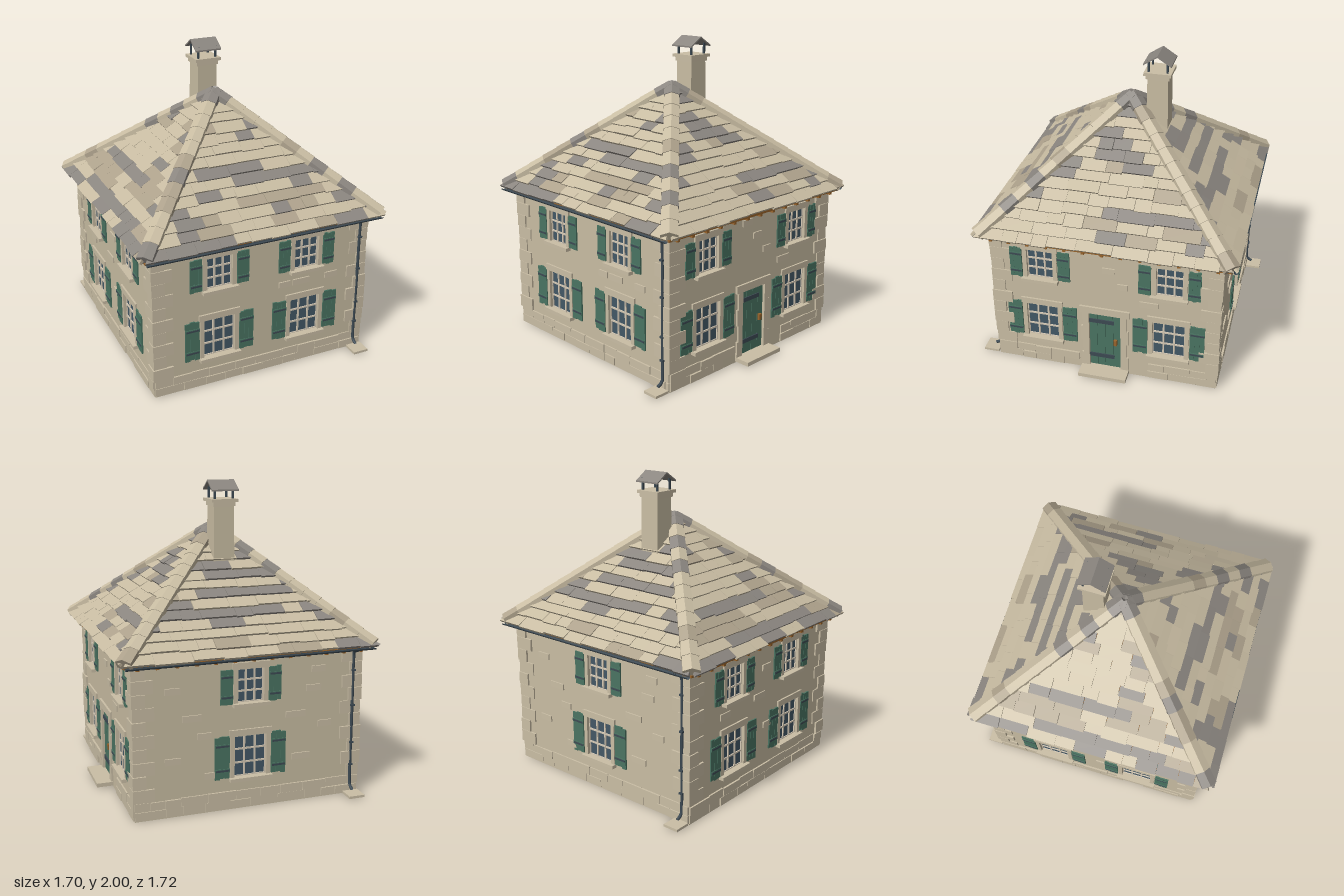
import * as THREE from 'three';
import { mergeGeometries } from 'three/addons/utils/BufferGeometryUtils.js';

const mat = (name, color, side = THREE.FrontSide) => {
  const m = new THREE.MeshStandardMaterial({ color, side });
  m.name = name;
  return m;
};

// Small seeded generator for irregular stonework
let seed = 7;
const rnd = (a = 0, b = 1) => {
  seed = (seed * 16807) % 2147483647;
  return a + (b - a) * (seed / 2147483647);
};

export function createModel() {
  const wallMat = mat('wall render', 0xc9bda3);
  const stone = mat('dressed stone', 0xcabea5);
  const slateTan = mat('tan roof slab', 0xc8bca2);
  const slateTaupe = mat('taupe roof slab', 0xaea28c);
  const slateGrey = mat('grey roof slab', 0x8b8680);
  const green = mat('green paint', 0x4a7462);
  const glassMat = mat('window glass', 0x435866, THREE.DoubleSide);
  const iron = mat('dark iron', 0x3d4a53, THREE.DoubleSide);
  const wood = mat('brown timber', 0x9a652c);
  const bars = mat('pale window bars', 0xd6cab6);

  const house = new THREE.Group();
  house.name = 'stoneHouse';
  const W = 0.74; // wall half width

  const group = (parent, name) => {
    const g = new THREE.Group();
    g.name = name;
    parent.add(g);
    return g;
  };
  const mesh = (parent, name, geo, m) => {
    const o = new THREE.Mesh(geo, m);
    o.name = name;
    parent.add(o);
    return o;
  };
  // Box given by its low and high corners
  const box = (parent, name, m, x0, x1, y0, y1, z0, z1) => {
    const o = mesh(parent, name, new THREE.BoxGeometry(x1 - x0, y1 - y0, z1 - z0), m);
    o.position.set((x0 + x1) / 2, (y0 + y1) / 2, (z0 + z1) / 2);
  };

  // Window with stone surround, glazing bars and open shutters
  function addWindow(side, cx, y0, y1, half, shutterW) {
    const g = group(side, 'window');
    g.position.x = cx;
    box(g, 'glass', glassMat, -half, half, y0, y1, W - 0.022, W - 0.017);
    for (let i = 0; i <= 3; i++) {
      const t = 0.0055;
      const x = -half + (2 * half * i) / 3, y = y0 + ((y1 - y0) * i) / 3;
      box(g, 'verticalBar', bars, x - t, x + t, y0, y1, W - 0.019, W - 0.009);
      box(g, 'crossBar', bars, -half, half, y - t, y + t, W - 0.019, W - 0.01);
    }
    box(g, 'lintel', stone, -half - 0.035, half + 0.035, y1, y1 + 0.042, W - 0.035, W + 0.012);
    box(g, 'sill', stone, -half - 0.035, half + 0.035, y0 - 0.022, y0, W - 0.035, W + 0.036);
    for (const s of [-1, 1]) {
      const xj = s * (half + 0.014);
      box(g, 'jamb', stone, xj - 0.014, xj + 0.014, y0, y1, W - 0.035, W + 0.01);
      const sh = group(g, 'shutter');
      sh.position.x = s * (half + 0.033 + shutterW / 2);
      const p = shutterW / 3;
      for (let i = -1; i <= 1; i++) {
        const d = rnd(-0.005, 0.005);
        box(sh, 'plank', green, i * p - p * 0.49, i * p + p * 0.49, y0 + d, y1 + 0.006 + d, W + 0.001, W + 0.01 + i * 0.001);
      }
      for (const f of [0.2, 0.8]) {
        const y = y0 + (y1 - y0) * f;
        box(sh, 'batten', green, -shutterW / 2, shutterW / 2, y - 0.012, y + 0.012, W + 0.009, W + 0.014);
        box(sh, 'hinge', iron, -shutterW * 0.45, shutterW * 0.45, y - 0.006, y + 0.006, W + 0.013, W + 0.016);
      }
    }
  }

  function addDoor(side) {
    const g = group(side, 'door');
    for (let i = 0; i < 4; i++) {
      const x = -0.105 + i * 0.0525;
      box(g, 'doorPlank', green, x + 0.001, x + 0.0515, 0.035, 0.47, W - 0.025, W - 0.005);
    }
    for (const y of [0.12, 0.405]) box(g, 'strapHinge', iron, -0.105, 0.06, y - 0.014, y + 0.014, W - 0.006, W + 0.002);
    box(g, 'doorHandle', wood, 0.058, 0.08, 0.23, 0.27, W - 0.006, W + 0.014);
    box(g, 'doorLintel', stone, -0.165, 0.165, 0.47, 0.52, W - 0.035, W + 0.014);
    for (const s of [-1, 1])
      for (let i = 0; i < 4; i++) {
        const w = i % 2 ? 0.04 : 0.052, a = s * 0.105, b = s * (0.105 + w);
        box(g, 'doorJamb', stone, Math.min(a, b), Math.max(a, b), 0.03 + i * 0.11, 0.14 + i * 0.11, W - 0.035, W + 0.013);
      }
    box(g, 'doorStep', stone, -0.16, 0.16, 0.01, 0.036, W - 0.03, 0.85);
  }

  // Four walls: front, right, back, left; loose stones as [x, y, width]
  const sides = [
    { name: 'frontWall', cols: [-0.304, 0.302], stones: [[0.15, 0.6, 0.08], [0.27, 0.6, 0.12], [0.49, 0.6, 0.09]] },
    { name: 'doorWall', cols: [-0.42, 0.42], door: true, stones: [[-0.07, 0.92, 0.09], [0.03, 0.82, 0.08], [0.12, 0.71, 0.07], [0.29, 0.6, 0.12]] },
    { name: 'backWall', cols: [0], stones: [[-0.5, 0.8, 0.1], [-0.38, 0.62, 0.12], [-0.3, 0.5, 0.09], [-0.5, 0.36, 0.1], [-0.25, 0.24, 0.1], [0.3, 0.58, 0.13], [0.42, 0.74, 0.1], [0.5, 0.5, 0.09], [0.34, 0.3, 0.12], [0.45, 0.86, 0.09]] },
    { name: 'leftWall', cols: [-0.31, 0.31], stones: [[0.03, 0.8, 0.09], [-0.04, 0.62, 0.12], [0.05, 0.4, 0.08], [-0.4, 0.6, 0.1]] },
  ];
  sides.forEach((s, k) => {
    const side = group(house, s.name);
    side.rotation.y = (k * Math.PI) / 2;
    const shape = new THREE.Shape();
    shape.moveTo(-W, 0);
    if (s.door) shape.lineTo(-0.105, 0).lineTo(-0.105, 0.47).lineTo(0.105, 0.47).lineTo(0.105, 0);
    shape.lineTo(W, 0).lineTo(W, 1).lineTo(-W, 1).closePath();
    for (const c of s.cols)
      for (const [y0, y1, h, w] of [[0.21, 0.475, 0.105, 0.096], [0.688, 0.9, 0.085, 0.08]]) {
        const hole = new THREE.Path();
        hole.moveTo(c - h, y0).lineTo(c - h, y1).lineTo(c + h, y1).lineTo(c + h, y0).closePath();
        shape.holes.push(hole);
        addWindow(side, c, y0, y1, h, w);
      }
    mesh(side, 'wall', new THREE.ExtrudeGeometry(shape, { depth: 0.02, bevelEnabled: false }), wallMat).position.z = W - 0.02;
    if (s.door) addDoor(side);
    for (const [x, y, w] of s.stones) box(side, 'wallStone', stone, x - w / 2, x + w / 2, y - 0.02, y + 0.02, W - 0.01, W + 0.009);

    // Two courses of plinth blocks
    for (let r = 0; r < 2; r++)
      for (let x = -W; x < W - 0.02; ) {
        const x1 = Math.min(W, x + rnd(0.09, 0.2));
        if (!s.door || x1 < -0.155 || x > 0.155) box(side, 'plinthStone', stone, x, x1 - 0.003, 0.008 + r * 0.057, r * 0.057 + rnd(0.058, 0.066), W - 0.025, W + rnd(0.005, 0.014));
        x = x1;
      }
    // Corner stones alternating long and short
    for (let i = 0; i < 10; i++) {
      const a = (i % 2 ? 0.135 : 0.085) + rnd(-0.01, 0.01), b = i % 2 ? 0.085 : 0.135, o = W + rnd(0.007, 0.015);
      box(side, 'cornerStone', stone, o - a, o, 0.122 + i * 0.085, 0.204 + i * 0.085, o - b, o);
    }
    // Fascia board and rafter tails under the eaves
    box(side, 'fascia', wood, -0.803, 0.803, 0.974, 0.988, 0.79, 0.803);
    for (let x = -0.72; x < 0.75; x += 0.12) box(side, 'rafterTail', wood, x - 0.01, x + 0.01, 0.956, 0.98, W - 0.03, 0.795);
  });

  // Hipped roof: timber deck, overlapping slabs and hip stones
  const R = 0.815, eave = 0.987, rise = 0.69;
  const L = Math.hypot(R, rise), slope = Math.atan2(rise, R);
  const deck = mesh(house, 'roofDeck', new THREE.CylinderGeometry(0, 0.77 * Math.SQRT2, 0.652, 4).rotateY(Math.PI / 4), wood);
  deck.position.y = 1.005 + 0.326;

  const slabMats = [slateTan, slateTaupe, slateGrey];
  const rows = 14, pitch = L / rows;
  for (let k = 0; k < 4; k++) {
    const turn = group(house, 'roofSlope');
    turn.rotation.y = (k * Math.PI) / 2;
    const plane = group(turn, 'slabs');
    plane.position.set(0, eave, R);
    plane.rotation.x = slope - Math.PI / 2;
    const bins = [[], [], []];
    let tone = 0;
    for (let r = 0; r < rows; r++) {
      const half = R * (1 - r / rows);
      for (let x = -half; x < half - 0.01; ) {
        const x1 = Math.min(half, x + rnd(0.09, 0.24));
        const v0 = r * pitch - rnd(0, 0.014), v1 = Math.min(L, (r + 1.2) * pitch), lift = rnd(0.008, 0.015), gap = rnd(0, 0.002);
        const g = new THREE.BoxGeometry(1, 1, 1), p = g.attributes.position;
        for (let i = 0; i < p.count; i++) {
          const v = p.getY(i) < 0 ? v0 : v1, lim = Math.max(0, R * (1 - v / L));
          const u = p.getX(i) < 0 ? x + gap : x1 - gap;
          const w = (p.getZ(i) < 0 ? 0 : 0.018) + (p.getY(i) < 0 ? lift : -0.006);
          p.setXYZ(i, Math.max(-lim, Math.min(lim, u)), v, w);
        }
        g.computeVertexNormals();
        const c = rnd();
        if (rnd() > 0.25) tone = c < 0.56 ? 0 : c < 0.7 ? 1 : 2;
        bins[tone].push(g);
        x = x1;
      }
    }
    bins.forEach((b, i) => b.length && mesh(plane, 'roofSlabs', mergeGeometries(b), slabMats[i]));

    // Hip stones from corner to peak, ridge edge upward
    const from = new THREE.Vector3(0.8, 1.005, 0.8), to = new THREE.Vector3(0, 1.683, 0);
    const n = 12, len = from.distanceTo(to) / n;
    const aim = new THREE.Matrix4().lookAt(to, from, new THREE.Vector3(0, 1, 0));
    for (let i = 0; i < n; i++) {
      const geo = new THREE.CylinderGeometry(0.055, 0.06, len * 1.06, 6).rotateX(Math.PI / 2).scale(1, 0.75, 1).toNonIndexed();
      geo.computeVertexNormals();
      const tint = i === n - 1 ? slateGrey : slabMats[[0, 1, 0, 2, 0][Math.floor(rnd(0, 5))]];
      const hip = mesh(turn, 'hipStone', geo, tint);
      hip.position.lerpVectors(from, to, (i + 0.5) / n);
      hip.quaternion.setFromRotationMatrix(aim);
    }
  }

  // Gutters and downpipes, front and back
  for (const a of [0, Math.PI]) {
    const g = group(house, 'rainGutter');
    g.rotation.y = a;
    const trough = new THREE.CylinderGeometry(0.014, 0.014, 1.6, 8, 1, true, Math.PI, Math.PI).rotateZ(Math.PI / 2);
    mesh(g, 'trough', trough, iron).position.set(0, 0.986, 0.826);
    const pts = [[0.978, 0.82], [0.965, 0.79], [0.95, 0.756], [0.91, 0.75], [0.5, 0.75], [0.1, 0.75], [0.06, 0.756], [0.04, 0.79]];
    const path = new THREE.CatmullRomCurve3(pts.map(([y, z]) => new THREE.Vector3(0.69, y, z)));
    mesh(g, 'downpipe', new THREE.TubeGeometry(path, 40, 0.01, 8), iron);
    for (const y of [0.2, 0.35, 0.6, 0.83]) box(g, 'pipeClip', iron, 0.677, 0.703, y - 0.006, y + 0.006, W, 0.763);
    box(g, 'splashStone', stone, 0.64, 0.745, 0.006, 0.022, 0.755, 0.858);
  }

  // Chimney with iron posts and a little gabled cap
  const chimney = group(house, 'chimney');
  chimney.position.z = -0.18;
  const stack = new THREE.CylinderGeometry(0.066 * Math.SQRT2, 0.071 * Math.SQRT2, 0.41, 4).rotateY(Math.PI / 4).toNonIndexed();
  stack.computeVertexNormals();
  mesh(chimney, 'stack', stack, wallMat).position.y = 1.66;
  box(chimney, 'stackTop', stone, -0.088, 0.088, 1.862, 1.882, -0.088, 0.088);
  box(chimney, 'stackCollar', stone, -0.075, 0.075, 1.835, 1.862, -0.075, 0.075);
  for (const x of [-0.06, 0.06])
    for (const z of [-0.06, 0.06]) box(chimney, 'post', iron, x - 0.006, x + 0.006, 1.88, 1.958, z - 0.006, z + 0.006);
  const gable = new THREE.Shape();
  [[-0.09, 1.932], [0, 1.99], [0.09, 1.932], [0.09, 1.942], [0, 2], [-0.09, 1.942]].forEach(([x, y], i) => (i ? gable.lineTo(x, y) : gable.moveTo(x, y)));
  const cap = new THREE.ExtrudeGeometry(gable, { depth: 0.18, bevelEnabled: false }).translate(0, 0, -0.09).rotateY(Math.PI / 2);
  mesh(chimney, 'chimneyCap', cap, slateGrey);

  return house;
}
